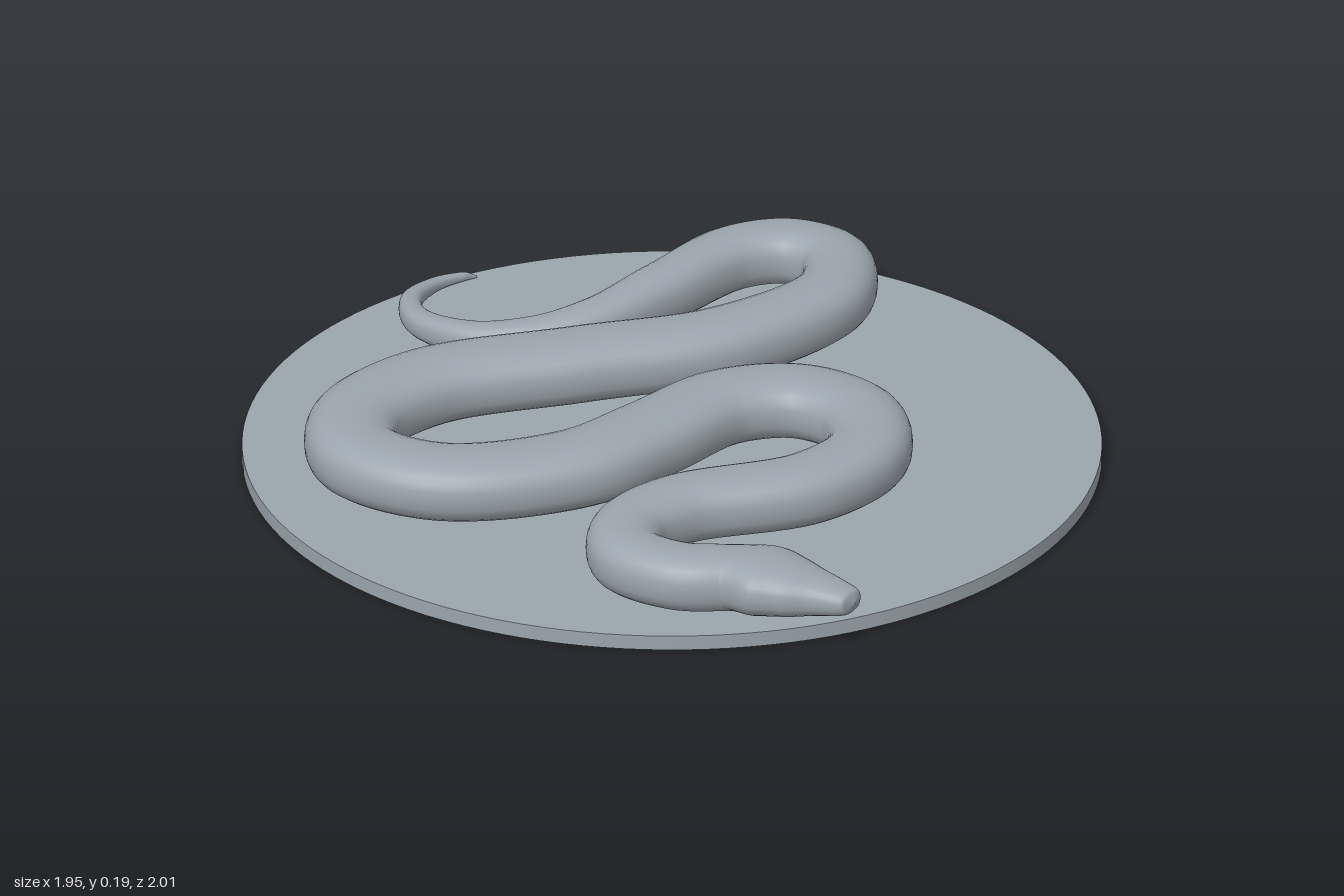
import * as THREE from 'three';

const BASE_TOP = 0.035;

// Sweep a rounded, slightly boxy section along stations [x, z, halfWidth, halfHeight, centreY]
function sweep(stations, rings, sides) {
  const path = new THREE.CatmullRomCurve3(stations.map(([x, z]) => new THREE.Vector3(x, 0, z)));
  const size = new THREE.CatmullRomCurve3(
    stations.map(([, , w, h, y]) => new THREE.Vector3(w, h, y)), false, 'catmullrom', 0.4);
  const up = new THREE.Vector3(0, 1, 0);
  const squash = (v) => Math.sign(v) * Math.pow(Math.abs(v), 0.82);
  const positions = [], index = [];
  for (let i = 0; i <= rings; i++) {
    const t = i / rings;
    const c = path.getPoint(t), s = size.getPoint(t);
    const side = path.getTangent(t).cross(up).normalize();
    for (let j = 0; j < sides; j++) {
      const a = (j / sides) * Math.PI * 2;
      const w = squash(Math.cos(a)) * s.x;
      positions.push(c.x + side.x * w, s.z + squash(Math.sin(a)) * s.y, c.z + side.z * w);
      if (i === rings) continue;
      const k = (j + 1) % sides;
      const p = i * sides + j, q = i * sides + k;
      index.push(p, p + sides, q, q, p + sides, q + sides);
    }
  }
  const geometry = new THREE.BufferGeometry();
  geometry.setAttribute('position', new THREE.Float32BufferAttribute(positions, 3));
  geometry.setIndex(index);
  geometry.computeVertexNormals();
  return geometry;
}

export function createModel() {
  const model = new THREE.Group();
  model.name = 'snakeOnDisc';
  const stone = new THREE.MeshStandardMaterial({ color: 0x9ba5ad });
  stone.name = 'blueGrey';
  const add = (name, geometry) => {
    const mesh = new THREE.Mesh(geometry, stone);
    mesh.name = name;
    model.add(mesh);
    return mesh;
  };

  // Round base
  add('base', new THREE.CylinderGeometry(0.973, 0.973, BASE_TOP, 128))
    .position.set(0, BASE_TOP / 2, -0.027);

  // Winding body from tail tip to neck: x, z, half width
  const spine = [
    [0.04, -0.975, 0.003], [0.01, -0.978, 0.01], [-0.08, -0.965, 0.016],
    [-0.175, -0.9, 0.025], [-0.215, -0.79, 0.031], [-0.165, -0.65, 0.039],
    [-0.055, -0.565, 0.048], [0.09, -0.54, 0.057], [0.3, -0.588, 0.069],
    [0.53, -0.655, 0.077], [0.655, -0.615, 0.08], [0.703, -0.505, 0.083],
    [0.6, -0.35, 0.09], [0.28, -0.28, 0.1], [-0.05, -0.35, 0.105],
    [-0.41, -0.424, 0.107], [-0.64, -0.345, 0.106], [-0.725, -0.18, 0.106],
    [-0.62, 0.01, 0.108], [-0.33, 0.103, 0.11], [-0.11, 0.06, 0.108],
    [0.125, 0.0, 0.103], [0.285, 0.06, 0.1], [0.35, 0.21, 0.098],
    [0.275, 0.375, 0.096], [0.08, 0.445, 0.095], [-0.225, 0.388, 0.09],
    [-0.38, 0.435, 0.087], [-0.447, 0.55, 0.086], [-0.39, 0.68, 0.086],
    [-0.3, 0.74, 0.082], [-0.26, 0.775, 0.06],
  ];
  add('body', sweep(spine.map(([x, z, w]) => {
    const h = Math.min(w, 0.045 + 0.29 * w);
    return [x, z, w, h, BASE_TOP + h - 0.001];
  }), 360, 28));

  // Wedge-shaped head: x, z, half width, half height, centre height
  add('head', sweep([
    [-0.33, 0.72, 0.078, 0.064, 0.106], [-0.29, 0.75, 0.09, 0.065, 0.107],
    [-0.24, 0.805, 0.113, 0.064, 0.108], [-0.2, 0.865, 0.092, 0.056, 0.107],
    [-0.162, 0.92, 0.065, 0.044, 0.105], [-0.132, 0.97, 0.047, 0.033, 0.104],
    [-0.122, 0.99, 0.036, 0.025, 0.104], [-0.118, 0.999, 0.002, 0.002, 0.104],
  ], 48, 28));

  return model;
}
